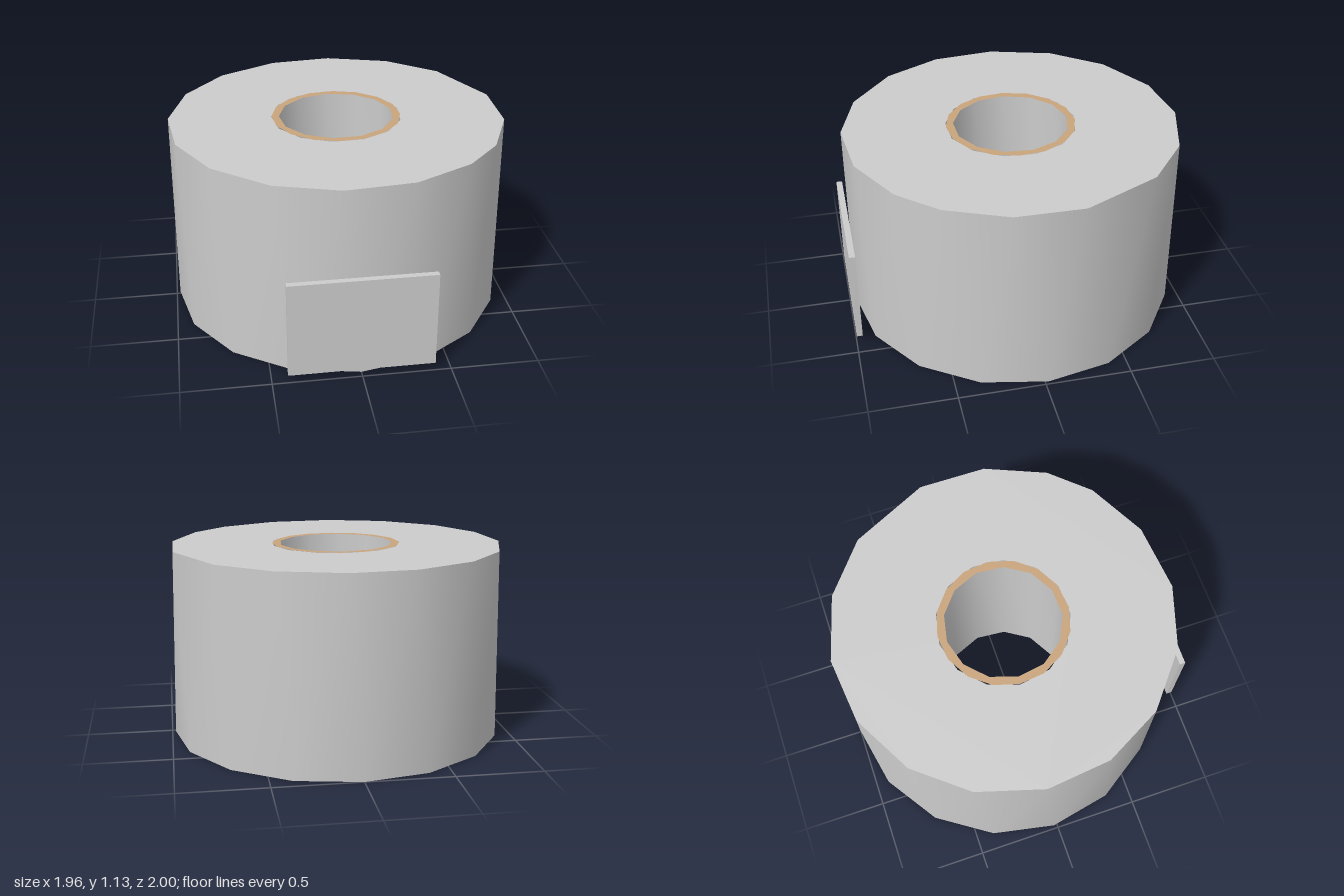
import * as THREE from 'three';

const HEIGHT = 1.13, CENTRE_Z = -0.02, OUTER = 0.98, HOLE = 0.38;

// points of a ring for angles in degrees, as (x, -z) pairs
const ringPoints = (angles, r) => angles.map((a) => {
  const t = THREE.MathUtils.degToRad(a);
  return new THREE.Vector2(r * Math.cos(t), r * Math.sin(t));
});
const even = (n, start = 0) => Array.from({ length: n }, (_, i) => start + (i * 360) / n);

// smooth wall between a lower and an upper ring
function wall(lower, upper, inward) {
  const n = lower.length, pos = [], index = [];
  for (const p of lower) pos.push(p.x, 0, -p.y);
  for (const p of upper) pos.push(p.x, HEIGHT, -p.y);
  for (let i = 0; i < n; i++) {
    const j = (i + 1) % n;
    if (inward) index.push(i, n + j, j, i, n + i, n + j);
    else index.push(i, j, n + j, i, n + j, n + i);
  }
  const g = new THREE.BufferGeometry();
  g.setAttribute('position', new THREE.Float32BufferAttribute(pos, 3));
  g.setIndex(index);
  g.computeVertexNormals();
  return g;
}

// flat ring facing up or down
function annulus(outer, inner, y, up) {
  const flip = (p) => (up ? p : new THREE.Vector2(p.x, -p.y));
  const shape = new THREE.Shape(outer.map(flip));
  shape.holes.push(new THREE.Path(inner.map(flip)));
  const g = new THREE.ShapeGeometry(shape);
  g.rotateX(up ? -Math.PI / 2 : Math.PI / 2);
  g.translate(0, y, 0);
  return g;
}

export function createModel() {
  const grey = new THREE.MeshStandardMaterial({ color: 0xcccccc });
  grey.name = 'paperGrey';
  const tan = new THREE.MeshStandardMaterial({ color: 0xc8a47c, side: THREE.DoubleSide });
  tan.name = 'cardboardTan';

  const model = new THREE.Group();
  model.name = 'roll';
  const add = (name, geometry, material, z = CENTRE_Z) => {
    const mesh = new THREE.Mesh(geometry, material);
    mesh.name = name;
    mesh.position.z = z;
    model.add(mesh);
  };

  // slightly twisted sixteen-sided roll
  const bottomRing = ringPoints(even(16), OUTER);
  const topRing = ringPoints(
    [-12, 11, 40, 62, 85, 107, 130, 152, 175, 197, 219, 242, 264, 287, 309, 326], OUTER);
  const hole = ringPoints(even(13, 9), HOLE);
  add('rollSide', wall(bottomRing, topRing, false), grey);
  add('rollTop', annulus(topRing, hole, HEIGHT, true), grey);
  add('rollBottom', annulus(bottomRing, hole, 0, false), grey);
  add('holeWall', wall(hole, hole, true), grey);

  // cardboard rim around the hole
  add('coreRim', annulus(ringPoints(even(16, 85), 0.378), ringPoints(even(13, 9), 0.335), HEIGHT + 0.002, true), tan);

  // flat label on the front
  const label = new THREE.BoxGeometry(0.82, 0.57, 0.035);
  label.translate(0, 0.33, 0);
  add('frontLabel', label, grey, 0.98);

  return model;
}
